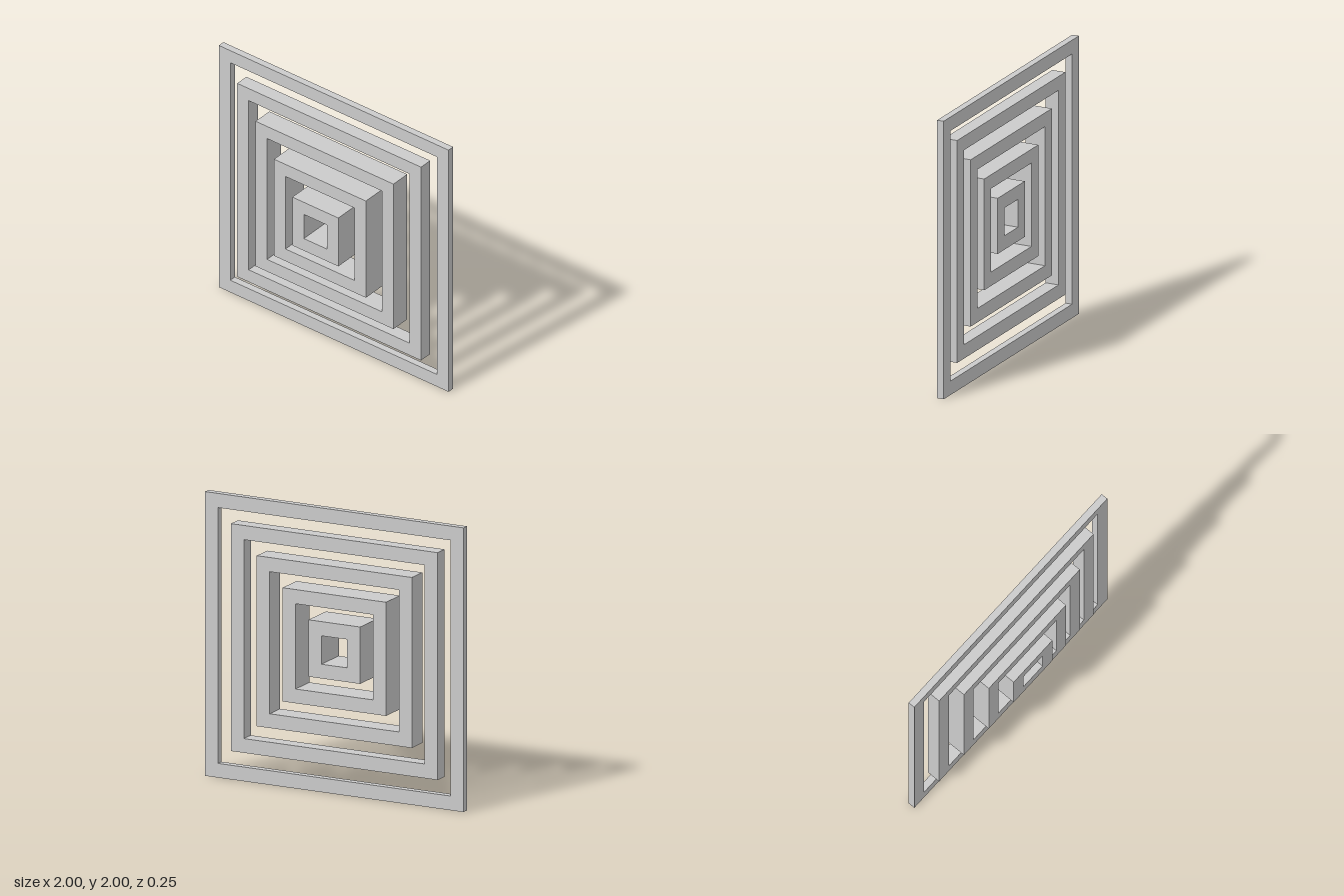
import * as THREE from 'three';

const BACK = -0.125; // all frames share one back plane
const BAR = 0.1; // width of each frame's border
const STEP = 0.05; // extra depth of each smaller frame

// Adds a closed square outline to a shape or path
function square(path, half) {
  path.moveTo(-half, -half);
  path.lineTo(half, -half);
  path.lineTo(half, half);
  path.lineTo(-half, half);
  path.closePath();
  return path;
}

export function createModel() {
  const model = new THREE.Group();
  model.name = 'concentricFrames';
  const material = new THREE.MeshStandardMaterial({ color: 0xcccccc });

  // Five nested square frames, each smaller and deeper than the last
  for (let i = 0; i < 5; i++) {
    const half = 1 - 0.2 * i;
    const shape = square(new THREE.Shape(), half);
    shape.holes.push(square(new THREE.Path(), half - BAR));
    const geometry = new THREE.ExtrudeGeometry(shape, {
      depth: STEP * (i + 1),
      bevelEnabled: false,
    });
    const frame = new THREE.Mesh(geometry, material);
    frame.name = `squareFrame${i + 1}`;
    frame.position.set(0, 1, BACK);
    model.add(frame);
  }
  return model;
}
